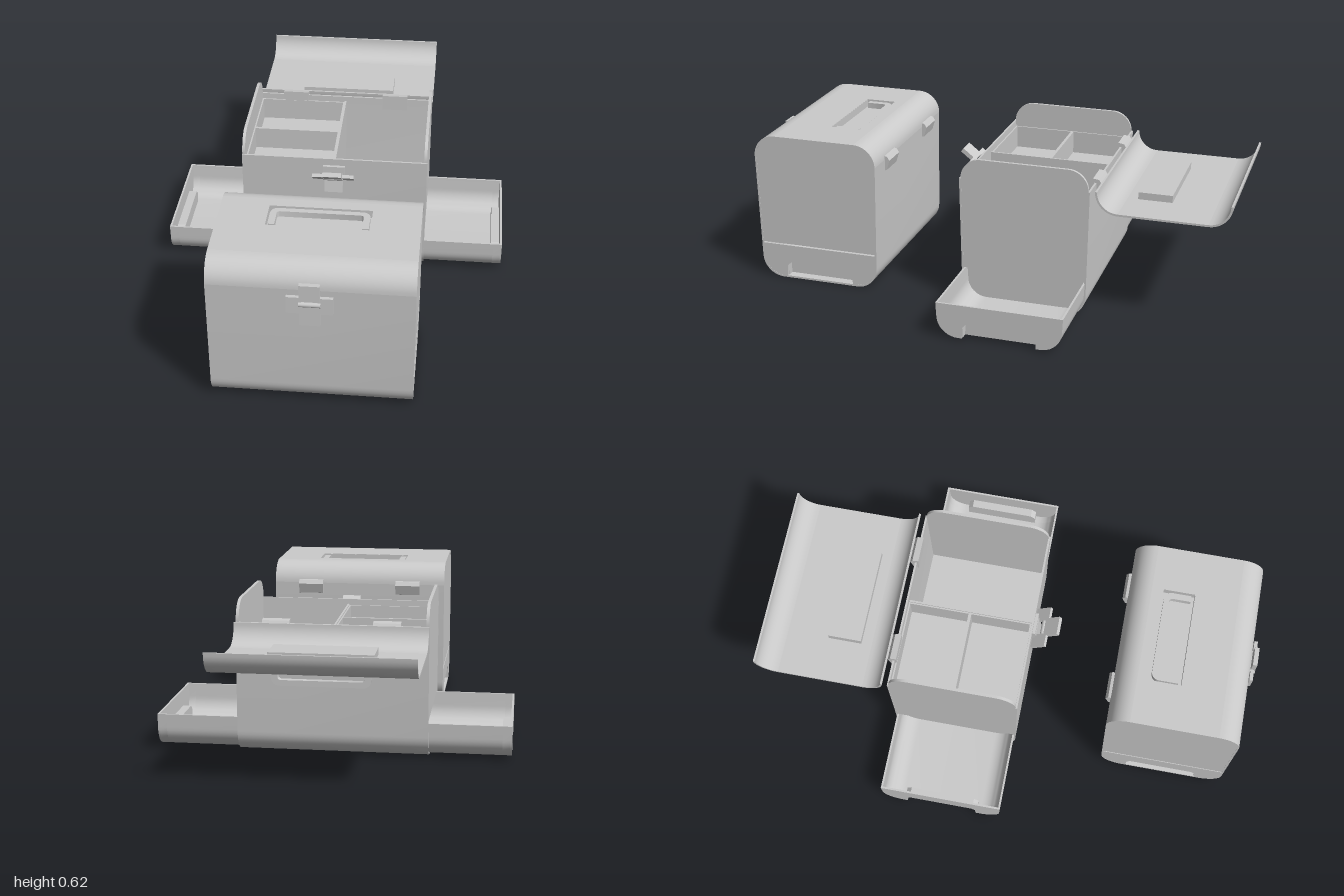
import * as THREE from 'three';
import { toCreasedNormals } from 'three/addons/utils/BufferGeometryUtils.js';

const material = new THREE.MeshStandardMaterial({ color: 0xcccccc, side: THREE.DoubleSide });
const HALF = 0.38, T = 0.008, RIM = 0.535, TOP = 0.625, R = 0.09;

function add(parent, name, geometry) {
  const mesh = new THREE.Mesh(geometry, material);
  mesh.name = name;
  parent.add(mesh);
  return mesh;
}

function group(parent, name) {
  const g = new THREE.Group();
  g.name = name;
  parent.add(g);
  return g;
}

// Box given by its limits
function box(parent, name, x0, x1, y0, y1, z0, z1) {
  const g = new THREE.BoxGeometry(x1 - x0, y1 - y0, z1 - z0);
  g.translate((x0 + x1) / 2, (y0 + y1) / 2, (z0 + z1) / 2);
  return add(parent, name, g);
}

// Outline of [z, y] points extruded along x
function extrudeX(parent, name, pts, x0, x1) {
  const shape = new THREE.Shape(pts.map(([z, y]) => new THREE.Vector2(-z, y)));
  const g = new THREE.ExtrudeGeometry(shape, { depth: x1 - x0, bevelEnabled: false });
  g.rotateY(Math.PI / 2).translate(x0, 0, 0);
  return add(parent, name, toCreasedNormals(g, 0.5));
}

// Half of a rounded U profile, from its rim down to the point z = -end on the floor
function half(wTop, wBot, yTop, yBot, r, end) {
  const pts = [[-wTop, yTop]];
  for (let k = 0; k <= 10; k++) {
    const a = Math.PI + (k / 10) * Math.PI / 2;
    pts.push([-wBot + r + r * Math.cos(a), yBot + r + r * Math.sin(a)]);
  }
  pts.push([-end, yBot]);
  return pts;
}
const mirrored = pts => pts.map(([z, y]) => [-z, y]).reverse();
const flipped = pts => pts.map(([z, y]) => [z, TOP - y]);
const full = pts => [...pts, ...mirrored(pts).slice(1)];
const band = (outer, inner) => [...outer, ...[...inner].reverse()];

// Thin-walled open tray
function tray(parent, name, x0, x1, y0, y1, z0, z1, t = 0.006) {
  const g = group(parent, name);
  box(g, 'trayFloor', x0, x1, y0, y0 + t, z0, z1);
  for (const [a, b] of [[x0, x0 + t], [x1 - t, x1]]) box(g, 'traySide', a, b, y0, y1, z0, z1);
  for (const [a, b] of [[z0, z0 + t], [z1 - t, z1]]) box(g, 'trayEnd', x0, x1, y0, y1, a, b);
}

// Drawer that opens towards +x, its face at x = HALF when shut
function addDrawer(parent, side, slide) {
  const d = group(parent, 'drawer');
  const outer = e => half(0.253, 0.25, 0.147, T, 0.085, e);
  const inner = e => half(0.253 - T, 0.25 - T, 0.147, 2 * T, 0.077, e);
  const x1 = HALF, xIn = HALF - 0.037;
  extrudeX(d, 'drawerTrough', band(full(outer(0)), full(inner(0))), 0.02, xIn);
  const corner = band(outer(0.148), inner(0.148));
  extrudeX(d, 'drawerCorner', corner, xIn, x1 - T);
  extrudeX(d, 'drawerCorner', mirrored(corner), xIn, x1 - T);
  extrudeX(d, 'drawerBack', full(outer(0)), 0.012, 0.02);
  // Face with a finger notch, and the hood behind the notch
  const notch = [[-0.145, 0.055], [-0.13, 0.07]];
  extrudeX(d, 'drawerFace',
    [...outer(0.148), ...notch, ...mirrored(notch), ...mirrored(outer(0.148))], x1 - T, x1);
  const hoodIn = [[-0.146, T], ...notch], hoodOut = [[-0.153, T], [-0.153, 0.06], [-0.134, 0.077]];
  const arch = p => [...p, ...mirrored(p)];
  extrudeX(d, 'gripHood', band(arch(hoodOut), arch(hoodIn)), xIn, x1 - T);
  extrudeX(d, 'gripBack', arch(hoodOut), xIn - 0.005, xIn);
  if (side < 0) d.rotation.y = Math.PI;
  d.position.x = side * slide;
}

// Rounded U-shaped carrying handle, pivoting at its feet
function handleGeometry() {
  const U = (w, h, r) => [
    [-w, 0], ...[...Array(7).keys()].map(k => {
      const a = Math.PI - k * Math.PI / 12;
      return [-w + r + r * Math.cos(a), h - r + r * Math.sin(a)];
    })];
  const whole = p => [...p, ...mirrored(p)];
  const pts = band(whole(U(0.188, 0.108, 0.03)), whole(U(0.163, 0.086, 0.012)));
  const g = new THREE.ExtrudeGeometry(new THREE.Shape(pts.map(p => new THREE.Vector2(...p))),
    { depth: 0.024, bevelEnabled: false });
  return toCreasedNormals(g.translate(0, 0, -0.012), 0.5);
}

function addLid(parent, open) {
  const lid = group(parent, 'lid');
  // Curved front and back edges
  const flat = 0.265 - R;
  const edge = band(flipped(half(0.265, 0.265, TOP - RIM, 0, R, flat)),
    flipped(half(0.265 - T, 0.265 - T, TOP - RIM, T, R - T, flat)));
  extrudeX(lid, 'lidBackEdge', edge, -HALF, HALF);
  extrudeX(lid, 'lidFrontEdge', mirrored(edge), -HALF, HALF);
  // Flat top with a hole for the handle recess
  const rect = (C, x, y0, y1) => new C([[-x, y0], [x, y0], [x, y1], [-x, y1]]
    .map(p => new THREE.Vector2(...p)));
  const top = rect(THREE.Shape, HALF, -flat, flat);
  top.holes.push(rect(THREE.Path, 0.195, 0, 0.128));
  const g = new THREE.ExtrudeGeometry(top, { depth: T, bevelEnabled: false });
  add(lid, 'lidTop', g.rotateX(-Math.PI / 2).translate(0, TOP - T, 0));
  tray(lid, 'handleRecess', -0.2, 0.2, 0.588, TOP - 0.001, -0.133, 0.004, 0.005);
  // Handle lies in the recess, or hangs free when the lid is turned over
  const handle = add(lid, 'handle', handleGeometry());
  handle.position.set(0, 0.608, -0.014);
  handle.rotation.x = open ? 0 : -Math.PI / 2;
  if (open) {
    lid.rotation.x = Math.PI;
    lid.position.set(0, 1.075, -0.55);
  }
}

function addLatch(parent, open) {
  const latch = group(parent, 'latch');
  latch.position.set(0, 0.455, 0.265);
  // Lower tongue
  const tongue = box(latch, 'latchTongue', -0.038, 0.038, -0.065, 0.02, 0.005, 0.018);
  tongue.rotation.x = open ? -0.15 : 0;
  box(latch, 'latchMount', -0.045, 0.045, -0.01, 0.05, -0.005, 0.012);
  // Swinging arm with cross bar and a raised roller
  const arm = group(latch, 'latchArm');
  arm.position.z = 0.012;
  for (const s of [-1, 1]) {
    const [a, b] = [s * 0.03, s * 0.085].sort((p, q) => p - q);
    box(arm, 'latchWing', a, b, -0.01, 0.06, -0.006, 0.008);
  }
  box(arm, 'latchPlate', -0.038, 0.038, 0.045, 0.115, -0.006, 0.012);
  const pin = add(arm, 'latchPin', new THREE.CylinderGeometry(0.01, 0.01, 0.08, 16));
  pin.rotation.z = Math.PI / 2;
  pin.position.set(0, 0.03, 0.006);
  arm.rotation.x = open ? 0.9 : 0;
}

function addCase(parent, name, z, open) {
  const c = group(parent, name);
  c.position.z = z;
  // Outer trough: front wall, floor and back wall
  extrudeX(c, 'bodyShell', band(full(half(0.265, 0.257, RIM, 0, R, 0)),
    full(half(0.265 - T, 0.257 - T, RIM, T, R - T, 0))), -HALF, HALF);
  // End plates with rounded shoulders above the drawers
  const w = 0.259, roof = TOP - T + 0.002;
  const shoulder = half(w, w, TOP - 0.5, TOP - roof, R - T, 0).map(([a, y]) => [a, TOP - y]);
  const plate = full([[-0.252, 0.153], ...shoulder]);
  for (const s of [-1, 1]) {
    const x = s * (HALF - 0.007);
    extrudeX(c, 'endPlate', plate, x - 0.006, x + 0.006);
    addDrawer(c, s, open ? 0.327 : 0);
    // Hinges on the back
    extrudeX(c, 'hinge', [[-0.25, 0.552], [-0.275, 0.548], [-0.285, 0.532], [-0.272, 0.49],
      [-0.25, 0.485]], s * 0.217 - 0.054, s * 0.217 + 0.054);
  }
  // Interior: floor over the drawers, middle wall and two shallow trays
  box(c, 'compartmentFloor', -0.37, 0.37, 0.15, 0.157, -0.25, 0.25);
  box(c, 'middleWall', -0.004, 0.004, 0.155, 0.515, -0.255, 0.255);
  tray(c, 'rearTray', -0.367, -0.004, 0.41, 0.51, -0.255, 0.0);
  tray(c, 'frontTray', -0.367, -0.004, 0.41, 0.51, 0.0, 0.255);
  addLid(c, open);
  addLatch(c, open);
}

export function createModel() {
  const model = new THREE.Group();
  model.name = 'storageCases';
  addCase(model, 'closedCase', 0.707, false);
  addCase(model, 'openCase', -0.18, true);
  return model;
}
